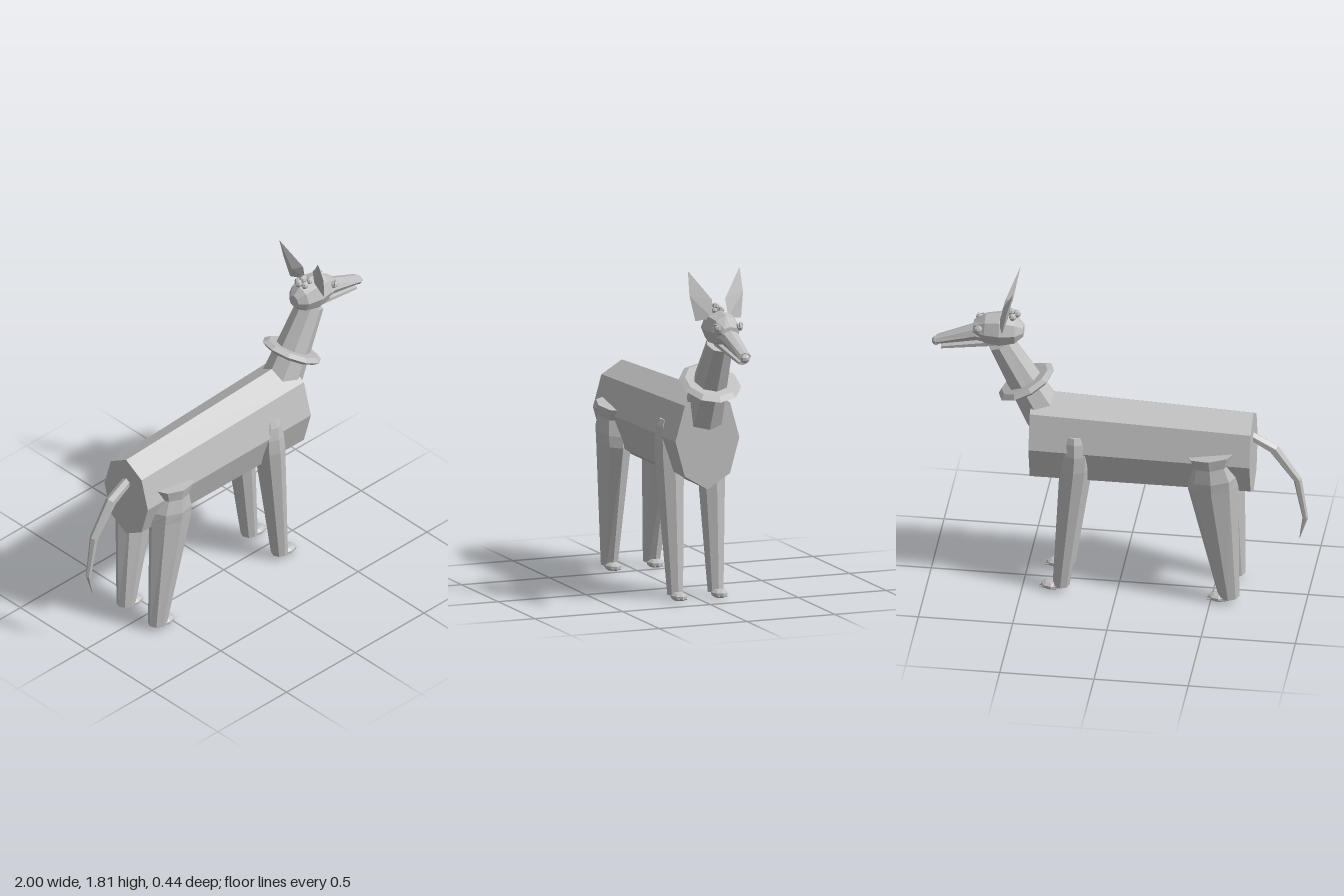
import * as THREE from 'three';
import { ConvexGeometry } from 'three/addons/geometries/ConvexGeometry.js';

const grey = new THREE.MeshStandardMaterial({ color: 0xbfbfbf });
grey.name = 'grey';

// Facet a geometry so every face is flat
function faceted(geo) {
  const g = geo.index ? geo.toNonIndexed() : geo;
  g.computeVertexNormals();
  return g;
}

function add(parent, name, geo) {
  const mesh = new THREE.Mesh(geo, grey);
  mesh.name = name;
  parent.add(mesh);
  return mesh;
}

// Capped loft through stations [x, y, z, radius in the xy plane, radius along z].
// The rings face the given angle, or follow the path when none is given.
function loft(stations, sides, angle) {
  const pos = [], idx = [], n = stations.length;
  stations.forEach(([x, y, z, r, rz], k) => {
    const a = stations[Math.max(k - 1, 0)], b = stations[Math.min(k + 1, n - 1)];
    const t = angle ?? Math.atan2(b[1] - a[1], b[0] - a[0]);
    for (let i = 0; i < sides; i++) {
      const q = (i / sides) * Math.PI * 2;
      pos.push(x - Math.sin(t) * r * Math.cos(q), y + Math.cos(t) * r * Math.cos(q), z + rz * Math.sin(q));
    }
  });
  const first = n * sides, last = first + 1;
  pos.push(...stations[0].slice(0, 3), ...stations[n - 1].slice(0, 3));
  for (let i = 0; i < sides; i++) {
    const j = (i + 1) % sides, top = (n - 1) * sides;
    for (let k = 0; k < n - 1; k++) {
      const a = k * sides, b = a + sides;
      idx.push(a + i, a + j, b + j, a + i, b + j, b + i);
    }
    idx.push(first, j, i, last, top + i, top + j);
  }
  const g = new THREE.BufferGeometry();
  g.setAttribute('position', new THREE.Float32BufferAttribute(pos, 3));
  g.setIndex(idx);
  return faceted(g);
}

function blob(parent, name, x, y, z, rx, ry, rz, w = 8, h = 5) {
  const geo = new THREE.SphereGeometry(1, w, h).scale(rx, ry, rz);
  return add(parent, name, faceted(geo)).position.set(x, y, z);
}

// Flattened paw with three claws pointing forward
function paw(parent, x, z) {
  blob(parent, 'paw', x, 0.032, z, 0.06, 0.024, 0.045);
  for (const k of [-1, 0, 1]) {
    const geo = faceted(new THREE.ConeGeometry(0.008, 0.035, 5).rotateZ(-Math.PI / 2 - 0.15));
    add(parent, 'claw', geo).position.set(x + 0.06 - Math.abs(k) * 0.01, 0.025, z + k * 0.022);
  }
}

function buildLegs(model, s) {
  const hind = new THREE.Group();
  hind.name = 'hindLeg';
  const hindGeo = loft([
    [-0.597, 0.035, 0.12 * s, 0.055, 0.045],
    [-0.513, 0.71, 0.13 * s, 0.135, 0.085],
    [-0.513, 0.77, 0.13 * s, 0.132, 0.092],
    [-0.505, 0.85, 0.13 * s, 0.105, 0.082],
    [-0.5, 0.912, 0.13 * s, 0.134, 0.092],
  ], 8, Math.PI / 2 - 0.13);
  add(hind, 'leg', hindGeo);
  paw(hind, -0.545, 0.12 * s);

  const front = new THREE.Group();
  front.name = 'frontLeg';
  const frontGeo = loft([
    [0.295, 0.035, 0.115 * s, 0.045, 0.045],
    [0.22, 0.77, 0.118 * s, 0.082, 0.084],
    [0.215, 0.86, 0.125 * s, 0.078, 0.072],
    [0.217, 0.93, 0.13 * s, 0.055, 0.055],
    [0.22, 0.965, 0.13 * s, 0.042, 0.04],
  ], 8, Math.PI / 2);
  add(front, 'leg', frontGeo);
  paw(front, 0.345, 0.115 * s);
  model.add(hind, front);
}

function buildHead(model) {
  const head = new THREE.Group();
  head.name = 'head';
  add(head, 'skull', loft([
    [0.51, 1.51, 0, 0.035, 0.035],
    [0.55, 1.51, 0, 0.075, 0.075],
    [0.63, 1.513, 0, 0.096, 0.095],
    [0.71, 1.51, 0, 0.085, 0.08],
    [0.775, 1.515, 0, 0.03, 0.05],
  ], 8, 0));
  add(head, 'muzzle', loft([
    [0.68, 1.48, 0, 0.05, 0.068],
    [0.76, 1.485, 0, 0.045, 0.056],
    [0.97, 1.42, 0, 0.022, 0.036],
  ], 8, -0.2));
  add(head, 'lowerJaw', loft([[0.66, 1.44, 0, 0.022, 0.052], [0.945, 1.384, 0, 0.012, 0.028]], 6, -0.2));
  blob(head, 'nose', 0.973, 1.412, 0, 0.025, 0.024, 0.028);

  for (const s of [1, -1]) {
    blob(head, 'eye', 0.745, 1.535, 0.062 * s, 0.025, 0.02, 0.02, 8, 6);
    const lid = faceted(new THREE.TorusGeometry(0.02, 0.007, 4, 8, Math.PI));
    const brow = add(head, 'eyelid', lid);
    brow.position.set(0.748, 1.538, 0.07 * s);
    brow.rotation.y = s * 0.6;

    // Tall pointed ear: flat inside, ridged behind
    const ear = [
      [0.545, 1.815, 0.147], [0.58, 1.69, 0.153], [0.607, 1.555, 0.13],
      [0.635, 1.57, 0.045], [0.612, 1.665, 0.037], [0.578, 1.64, 0.085],
    ].map(([x, y, z]) => new THREE.Vector3(x, y, z * s));
    add(head, 'ear', faceted(new ConvexGeometry(ear)));
  }

  // Small tuft between the ears
  for (const [x, y, z, r] of [
    [0.545, 1.61, 0, 0.022], [0.565, 1.6, 0.025, 0.02], [0.565, 1.6, -0.025, 0.02],
    [0.575, 1.62, 0, 0.02], [0.605, 1.605, 0.02, 0.016], [0.605, 1.605, -0.02, 0.016],
  ]) blob(head, 'tuft', x, y, z, r, r, r, 6, 4);
  model.add(head);
}

export function createModel() {
  const model = new THREE.Group();
  model.name = 'dog';

  add(model, 'body', loft([[-0.71, 0.86, 0, 0.242, 0.165], [0.46, 0.885, 0, 0.268, 0.182]], 8, 0));
  add(model, 'neck', loft([[0.39, 1.0, 0, 0.118, 0.112], [0.63, 1.43, 0, 0.072, 0.075]], 8));

  // Collar: a flattened ring square to the neck
  const ring = faceted(new THREE.TorusGeometry(0.11, 0.057, 6, 10).scale(1, 1, 0.4).rotateX(-Math.PI / 2));
  const collar = add(model, 'collar', ring);
  collar.position.set(0.495, 1.195, 0);
  collar.rotation.z = -0.5;

  add(model, 'tail', loft([
    [-0.69, 0.965, 0, 0.024, 0.028],
    [-0.82, 0.89, 0, 0.03, 0.03],
    [-0.945, 0.71, 0, 0.023, 0.022],
    [-0.985, 0.48, 0, 0.015, 0.014],
    [-0.955, 0.355, 0, 0.002, 0.002],
  ], 6));

  buildHead(model);
  for (const s of [1, -1]) buildLegs(model, s);
  return model;
}
